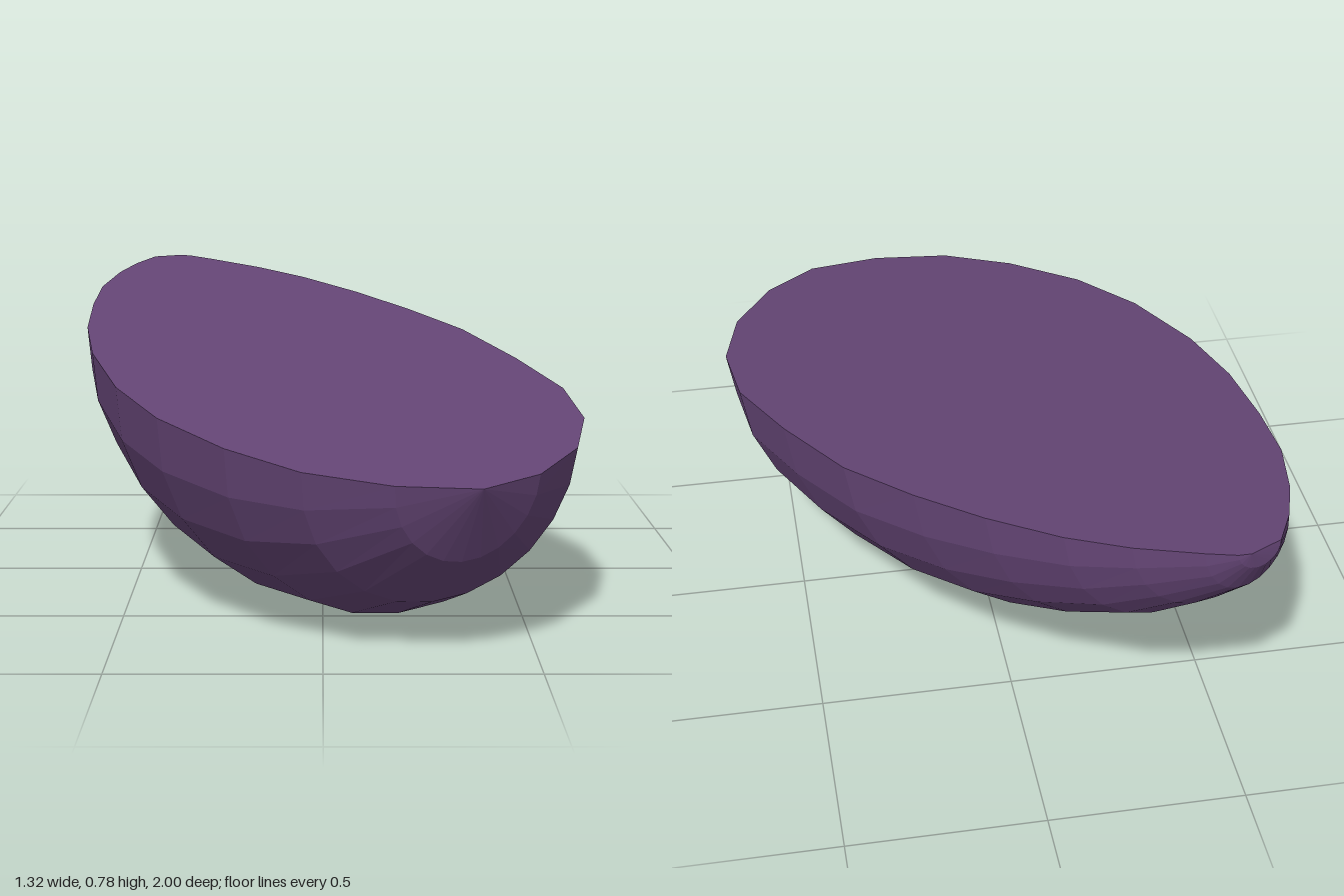
import * as THREE from 'three';

// Stations from front tip to back tip: rim left x,z, rim right x,z, depth below the rim plane
const STATIONS = [
  [0.36, 0.98, 0.36, 0.98, 0],
  [0.16, 0.995, 0.5, 0.86, 0.2],
  [-0.05, 0.94, 0.61, 0.66, 0.36],
  [-0.23, 0.81, 0.655, 0.43, 0.475],
  [-0.4, 0.62, 0.63, 0.19, 0.535],
  [-0.52, 0.4, 0.53, -0.06, 0.55],
  [-0.61, 0.12, 0.4, -0.32, 0.515],
  [-0.65, -0.12, 0.25, -0.51, 0.475],
  [-0.66, -0.36, 0.1, -0.67, 0.4],
  [-0.655, -0.56, -0.06, -0.81, 0.315],
  [-0.62, -0.74, -0.2, -0.9, 0.22],
  [-0.58, -0.86, -0.35, -0.97, 0.135],
  [-0.53, -0.96, -0.42, -0.998, 0.05],
  [-0.45, -1, -0.45, -1, 0],
];
const SEGMENTS = 12;

// The cut face lies in one tilted plane
const planePoint = (x, z) => new THREE.Vector3(x, 0.616 - 0.058 * x - 0.158 * z, z);
const DOWN = new THREE.Vector3(-0.058, -1, -0.158).normalize();

function meshFromTriangles(name, triangles, material) {
  const geometry = new THREE.BufferGeometry().setFromPoints(triangles.flat());
  geometry.computeVertexNormals();
  const mesh = new THREE.Mesh(geometry, material);
  mesh.name = name;
  return mesh;
}

export function createModel() {
  const purple = new THREE.MeshStandardMaterial({ color: 0x644575, flatShading: true });
  purple.name = 'dusky purple';

  // Half-ellipse cross-sections, each running left rim, keel, right rim
  const rings = STATIONS.map(([lx, lz, rx, rz, depth]) => {
    const left = planePoint(lx, lz);
    const right = planePoint(rx, rz);
    return Array.from({ length: SEGMENTS + 1 }, (_, j) => {
      const angle = (Math.PI * j) / SEGMENTS;
      return left.clone()
        .lerp(right, (1 - Math.cos(angle)) / 2)
        .addScaledVector(DOWN, depth * Math.sin(angle));
    });
  });

  const shell = [];
  const cut = [];
  const last = rings.length - 2;
  for (let i = 0; i <= last; i++) {
    const a = rings[i];
    const b = rings[i + 1];
    // Rounded underside, closing to a fan at each tip
    for (let j = 0; j < SEGMENTS; j++) {
      if (i < last) shell.push([a[j], b[j], b[j + 1]]);
      else shell.push([a[j], b[j], a[j + 1]]);
      if (i > 0 && i < last) shell.push([a[j], b[j + 1], a[j + 1]]);
    }
    // Flat cut face
    if (i > 0) cut.push([a[0], a[SEGMENTS], b[0]]);
    if (i < last) cut.push([a[SEGMENTS], b[SEGMENTS], b[0]]);
  }

  const group = new THREE.Group();
  group.name = 'halfEgg';
  group.add(meshFromTriangles('roundedShell', shell, purple));
  group.add(meshFromTriangles('flatTop', cut, purple));
  return group;
}
